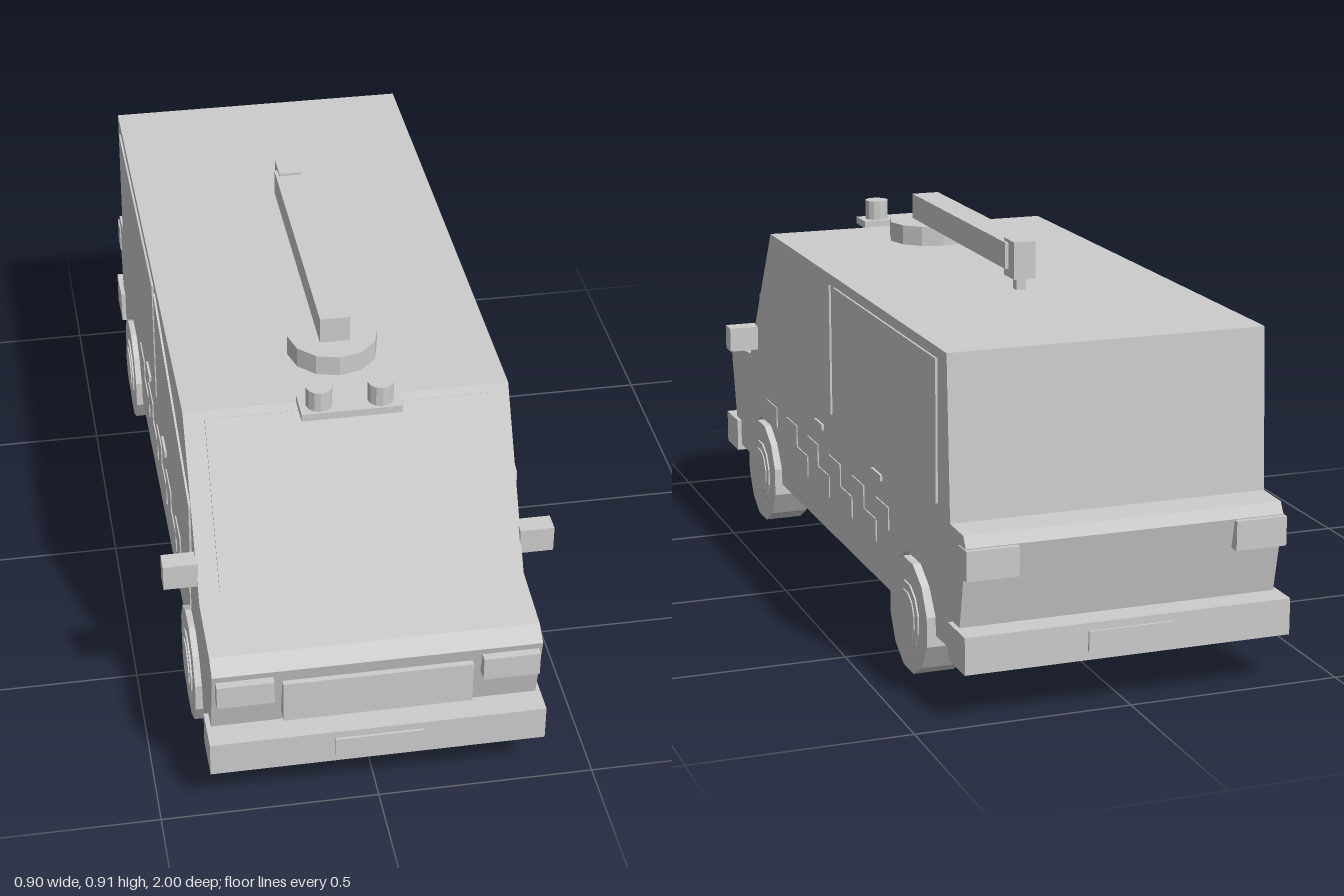
import * as THREE from 'three';

const grey = new THREE.MeshStandardMaterial({ color: 0xcccccc, flatShading: true });
grey.name = 'plainGrey';

export function createModel() {
  const model = new THREE.Group();
  model.name = 'van';

  const add = (name, geometry, x = 0, y = 0, z = 0) => {
    const mesh = new THREE.Mesh(geometry, grey);
    mesh.name = name;
    mesh.position.set(x, y, z);
    model.add(mesh);
    return mesh;
  };
  // Box given by its minimum and maximum on each axis
  const box = (name, x0, x1, y0, y1, z0, z1) =>
    add(name, new THREE.BoxGeometry(x1 - x0, y1 - y0, z1 - z0),
      (x0 + x1) / 2, (y0 + y1) / 2, (z0 + z1) / 2);
  // Side profile of [z, y] points, extruded across x
  const across = (name, points, x0, x1) => {
    const shape = new THREE.Shape(points.map(p => new THREE.Vector2(...p)));
    const g = new THREE.ExtrudeGeometry(shape, { depth: x1 - x0, bevelEnabled: false });
    g.rotateY(-Math.PI / 2);
    return add(name, g, x1, 0, 0);
  };

  // Body shell with wheel arches cut right through
  const arch = c => [[-0.155, 0.13], [-0.15, 0.175], [-0.11, 0.23], [-0.05, 0.265],
    [0.05, 0.265], [0.11, 0.23], [0.15, 0.175], [0.155, 0.13]].map(([z, y]) => [c + z, y]);
  across('body', [
    [-0.92, 0.13], ...arch(-0.62), ...arch(0.625), [0.92, 0.13], [0.93, 0.2],
    [0.97, 0.375], [0.93, 0.4], [0.77, 0.417], [0.54, 0.79],
    [-0.85, 0.79], [-0.87, 0.417], [-0.955, 0.415], [-0.97, 0.39], [-0.93, 0.2],
  ], -0.373, 0.373);

  // Windscreen plate lying on the sloped front
  const slope = new THREE.Vector2(-0.23, 0.373);
  const normal = new THREE.Vector2(slope.y, -slope.x).normalize().multiplyScalar(0.006);
  const onSlope = y => [0.77 + slope.x * (y - 0.417) / slope.y, y];
  const [low, high] = [onSlope(0.443), onSlope(0.773)];
  across('windscreen', [low, [low[0] + normal.x, low[1] + normal.y],
    [high[0] + normal.x, high[1] + normal.y], high], -0.325, 0.325);

  // Bumpers and number plates
  for (const s of [1, -1]) {
    const end = s > 0 ? 'front' : 'rear';
    const span = (a, b) => (s > 0 ? [a, b] : [-b, -a]);
    box(end + 'Bumper', -0.384, 0.384, 0.115, 0.2, ...span(0.885, 0.994));
    box(end + 'Plate', -0.1, 0.1, 0.135, 0.182, ...span(0.993, 1));
  }
  box('grille', -0.215, 0.215, 0.235, 0.34, 0.93, 0.976);

  const frontWindow = [[0, 0.44], [0.645, 0.44], [0.645, 0.61], [0, 0.765]];
  const rearWindow = [[-0.79, 0.44], [-0.03, 0.44], [-0.03, 0.765], [-0.79, 0.765]];
  for (const s of [1, -1]) {
    const side = s > 0 ? 'left' : 'right';
    const out = (a, b) => (s > 0 ? [a, b] : [-b, -a]);

    // Lamps and mirrors
    box(side + 'Headlight', ...out(0.236, 0.365), 0.3, 0.358, 0.93, 0.986);
    box(side + 'TailLight', ...out(0.255, 0.376), 0.32, 0.388, -0.982, -0.93);
    box(side + 'Mirror', ...out(0.37, 0.449), 0.447, 0.51, 0.688, 0.735);

    // Side windows, door handles and staggered side blocks
    across(side + 'FrontWindow', frontWindow, ...out(0.372, 0.378));
    across(side + 'RearWindow', rearWindow, ...out(0.372, 0.378));
    for (const z of [0.11, s > 0 ? -0.36 : -0.22])
      box(side + 'DoorHandle', ...out(0.372, 0.379), 0.38, 0.395, z - 0.035, z + 0.035);
    for (let i = 0; i < 6; i++) {
      const z = 0.6 - i * 0.19;
      box(side + 'UpperBlock', ...out(0.372, 0.376), 0.275, 0.33, z - 0.095, z);
      if (i > 0 && i < 5)
        box(side + 'LowerBlock', ...out(0.372, 0.376), 0.22, 0.275, z - 0.19, z - 0.095);
    }

    // Twelve-sided wheels standing on a flat, with stepped hubs
    for (const z of [0.622, -0.622]) {
      const disc = (name, r, x0, x1) => {
        const g = new THREE.CylinderGeometry(r, r, x1 - x0, 12);
        g.rotateY(Math.PI / 12).rotateZ(Math.PI / 2);
        add(name, g, s * (x0 + x1) / 2, 0.13, z);
      };
      disc(side + 'Wheel', 0.13 / Math.cos(Math.PI / 12), 0.292, 0.387);
      disc(side + 'Rim', 0.08, 0.38, 0.391);
      disc(side + 'Hub', 0.06, 0.385, 0.394);
    }

    // Roof beacon
    add(side + 'Beacon', new THREE.CylinderGeometry(0.03, 0.03, 0.05, 12), s * 0.07, 0.83, 0.58);
  }

  // Roof equipment: beacon base, turntable and boom
  box('beaconBase', -0.115, 0.115, 0.788, 0.806, 0.54, 0.615);
  add('turntable', new THREE.CylinderGeometry(0.105, 0.105, 0.05, 12), 0, 0.814, 0.347);
  box('boom', -0.035, 0.035, 0.839, 0.902, -0.3, 0.385);
  box('boomHead', -0.027, 0.027, 0.82, 0.909, -0.338, -0.27);
  box('boomRest', -0.012, 0.012, 0.788, 0.822, -0.314, -0.292);

  return model;
}
